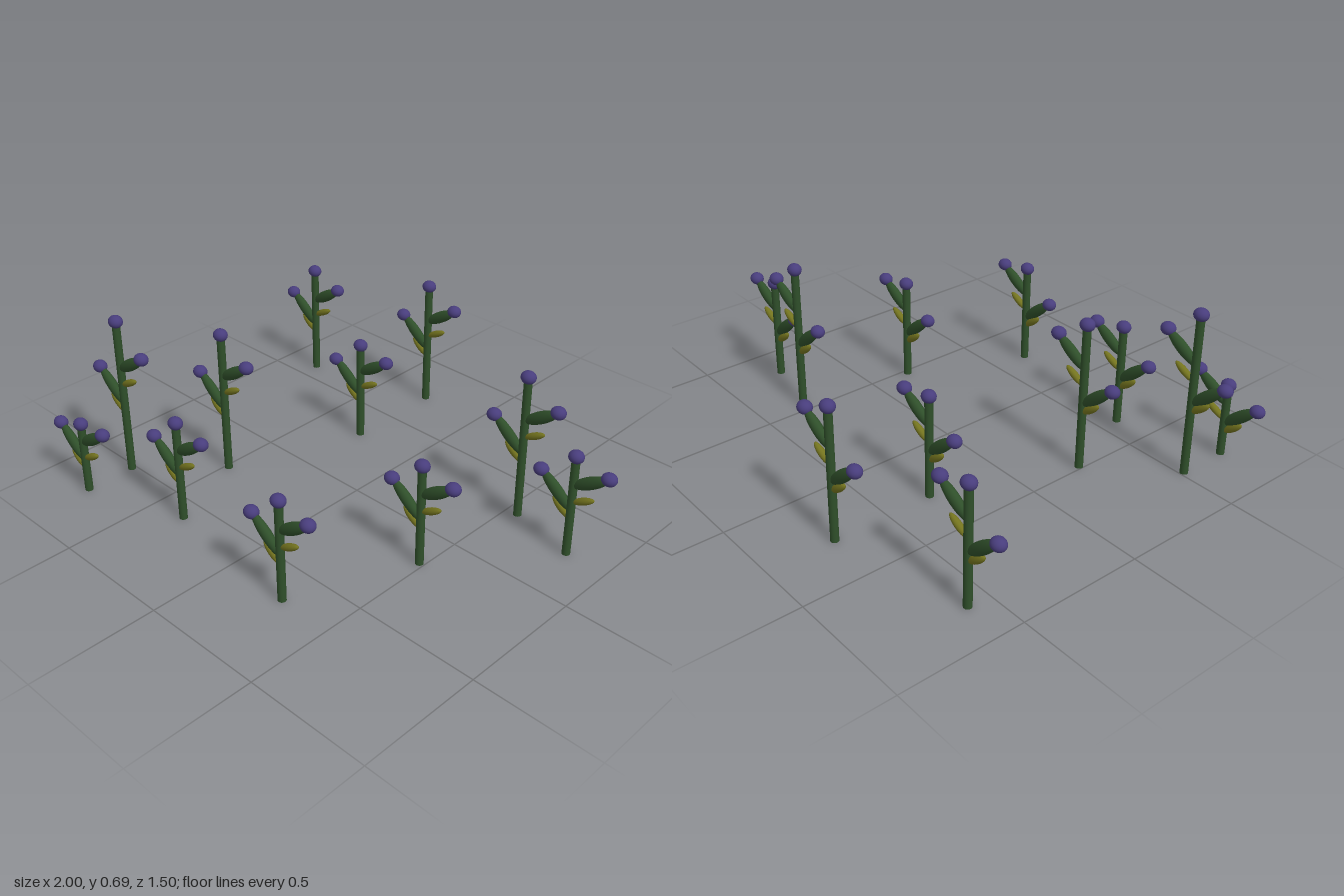
import * as THREE from 'three';

const green = new THREE.MeshStandardMaterial({ color: 0x2f4f2a });
const olive = new THREE.MeshStandardMaterial({ color: 0x74741f });
const purple = new THREE.MeshStandardMaterial({ color: 0x483d7c });

const ball = new THREE.SphereGeometry(1, 20, 14);

// Ellipsoid with radii r, tilted in the plane of the plant
function ellipsoid(name, material, x, y, r, degrees = 0) {
  const mesh = new THREE.Mesh(ball, material);
  mesh.name = name;
  mesh.position.set(x, y, 0);
  mesh.scale.set(...r);
  mesh.rotation.z = THREE.MathUtils.degToRad(degrees);
  return mesh;
}

function createPlant(x, z, height) {
  const plant = new THREE.Group();
  plant.name = 'plant';
  plant.position.set(x, 0, z);

  const stem = new THREE.Mesh(new THREE.CylinderGeometry(0.016, 0.016, height, 16), green);
  stem.name = 'stem';
  stem.position.y = height / 2;
  plant.add(stem);

  // The side shoots climb with the height of the stem
  const left = 0.11 + 0.667 * height;
  const right = 0.112 + 0.46 * height;
  const budSize = [0.03, 0.025, 0.027];
  plant.add(
    ellipsoid('topBud', purple, 0, height, budSize),
    ellipsoid('leftBud', purple, 0.14, left, budSize),
    ellipsoid('rightBud', purple, -0.14, right, budSize),
    ellipsoid('leftLeaf', green, 0.067, left - 0.05, [0.085, 0.024, 0.019], 32),
    ellipsoid('rightLeaf', green, -0.067, right - 0.058, [0.092, 0.024, 0.019], -40),
    ellipsoid('leftLeaflet', olive, 0.047, left - 0.137, [0.05, 0.014, 0.014], 28),
    ellipsoid('rightLeaflet', olive, -0.04, right - 0.119, [0.05, 0.016, 0.014], -38),
  );
  return plant;
}

export function createModel() {
  const group = new THREE.Group();
  group.name = 'flowerPatch';
  // x, z, stem height
  const plants = [
    [-0.83, -0.59, 0.48], [-0.28, -0.725, 0.54], [-0.28, -0.31, 0.42],
    [0.55, -0.31, 0.6], [0.825, -0.242, 0.42], [0.48, 0.173, 0.42],
    [-0.485, 0.242, 0.6], [-0.76, 0.518, 0.66], [-0.347, 0.587, 0.42],
    [-0.76, 0.725, 0.3], [0.275, 0.656, 0.42],
  ];
  for (const p of plants) group.add(createPlant(...p));
  return group;
}
